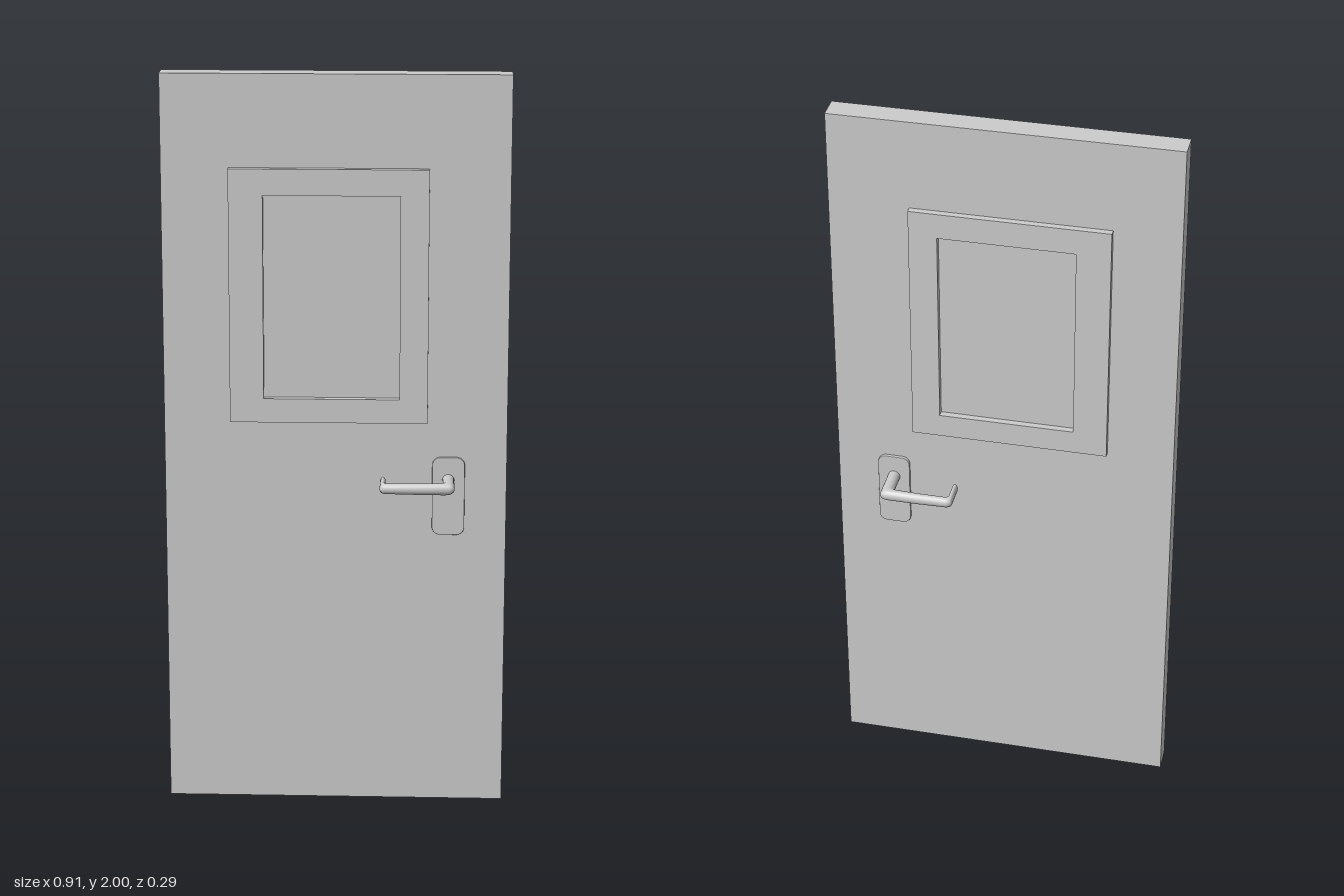
import * as THREE from 'three';

const material = new THREE.MeshStandardMaterial({ color: 0xcccccc });

function addMesh(parent, name, geometry) {
  const mesh = new THREE.Mesh(geometry, material);
  mesh.name = name;
  parent.add(mesh);
  return mesh;
}

function rectPath(path, x0, y0, x1, y1) {
  path.moveTo(x0, y0);
  path.lineTo(x1, y0);
  path.lineTo(x1, y1);
  path.lineTo(x0, y1);
  path.closePath();
  return path;
}

// Flat window surround with a rectangular opening
function frameGeometry(depth) {
  const shape = rectPath(new THREE.Shape(), -0.28, 1.075, 0.245, 1.755);
  shape.holes.push(rectPath(new THREE.Path(), -0.19, 1.14, 0.17, 1.685));
  return new THREE.ExtrudeGeometry(shape, { depth, bevelEnabled: false });
}

// Rounded escutcheon plate with a fine bevel
function plateGeometry(w, h, r, depth) {
  const b = 0.002, x = w / 2 - b, y = h / 2 - b;
  const s = new THREE.Shape();
  s.moveTo(-x + r, -y);
  s.lineTo(x - r, -y);
  s.absarc(x - r, -y + r, r, -Math.PI / 2, 0);
  s.absarc(x - r, y - r, r, 0, Math.PI / 2);
  s.absarc(-x + r, y - r, r, Math.PI / 2, Math.PI);
  s.absarc(-x + r, -y + r, r, Math.PI, Math.PI * 1.5);
  const g = new THREE.ExtrudeGeometry(s, {
    depth: depth - 2 * b, bevelThickness: b, bevelSize: b, bevelSegments: 2, curveSegments: 8,
  });
  return g.translate(0, 0, b - depth / 2);
}

// Lever: elliptical sections spanning an outer and an inner edge in plan.
// Each row is [outer x, outer z, inner x, inner z, half height].
const leverSections = [
  [0.318, 0.033, 0.285, 0.033, 0.0165],
  [0.318, 0.105, 0.285, 0.103, 0.0165],
  [0.318, 0.130, 0.283, 0.110, 0.0165],
  [0.315, 0.138, 0.277, 0.114, 0.0162],
  [0.305, 0.142, 0.268, 0.115, 0.016],
  [0.220, 0.143, 0.210, 0.117, 0.015],
  [0.135, 0.142, 0.143, 0.116, 0.014],
  [0.124, 0.139, 0.137, 0.113, 0.014],
  [0.120, 0.130, 0.135, 0.108, 0.014],
  [0.120, 0.063, 0.135, 0.063, 0.014],
  [0.122, 0.060, 0.133, 0.060, 0.012],
];

function leverGeometry() {
  const n = 20, pos = [], idx = [];
  const rows = leverSections.length;
  for (const [ox, oz, ix, iz, h] of leverSections) {
    for (let j = 0; j < n; j++) {
      const a = (j / n) * Math.PI * 2, t = (1 + Math.cos(a)) / 2;
      pos.push(ix + (ox - ix) * t, Math.sin(a) * h, iz + (oz - iz) * t);
    }
  }
  for (let i = 0; i < rows - 1; i++) {
    for (let j = 0; j < n; j++) {
      const k = (j + 1) % n;
      const a = i * n + j, b = i * n + k, c = a + n, d = b + n;
      idx.push(a, c, b, b, c, d);
    }
  }
  // Flat tip on its own vertices, so its rim stays crisp
  const tip = pos.length / 3, last = (rows - 1) * n;
  pos.push(...pos.slice(last * 3, (last + n) * 3));
  for (let j = 1; j < n - 1; j++) idx.push(tip, tip + j + 1, tip + j);
  const g = new THREE.BufferGeometry();
  g.setAttribute('position', new THREE.Float32BufferAttribute(pos, 3));
  g.setIndex(idx);
  // Order the corners so that the faces point outwards
  const p = (i) => new THREE.Vector3().fromArray(pos, i * 3);
  const normal = p(idx[1]).sub(p(idx[0])).cross(p(idx[2]).sub(p(idx[0])));
  if (normal.x < 0) {
    for (let i = 0; i < (rows - 1) * n * 6; i += 3) [idx[i + 1], idx[i + 2]] = [idx[i + 2], idx[i + 1]];
    g.setIndex(idx);
  }
  g.computeVertexNormals();
  return g;
}

export function createModel() {
  const door = new THREE.Group();
  door.name = 'door';

  // Door leaf
  addMesh(door, 'doorLeaf', new THREE.BoxGeometry(0.914, 2, 0.066)).position.y = 1;

  // Window surrounds on both faces
  addMesh(door, 'frontWindowFrame', frameGeometry(0.02)).position.z = 0.033;
  addMesh(door, 'backWindowFrame', frameGeometry(0.018)).position.z = -0.051;

  // Handle plates and levers on both faces
  const plate = plateGeometry(0.087, 0.215, 0.02, 0.01);
  const lever = leverGeometry();
  for (const side of [1, -1]) {
    const handle = new THREE.Group();
    handle.name = side > 0 ? 'frontHandle' : 'backHandle';
    addMesh(handle, 'handlePlate', plate).position.set(0.302, 0.872, side * 0.039);
    const grip = addMesh(handle, 'handleLever', lever);
    grip.position.set(0, 0.917, side > 0 ? 0 : -0.002);
    if (side < 0) grip.rotation.x = Math.PI;
    door.add(handle);
  }
  return door;
}
